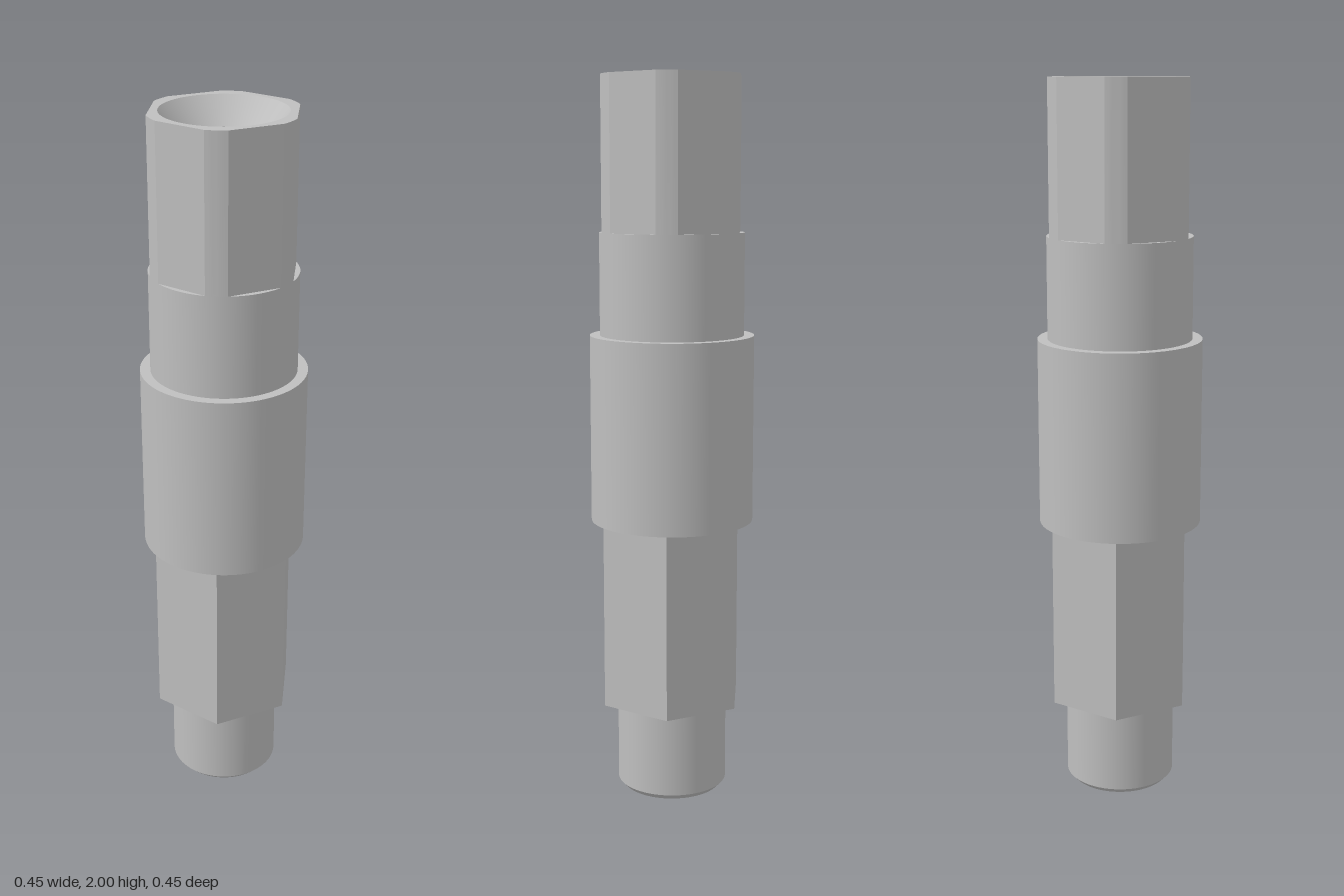
import * as THREE from 'three';
import { mergeGeometries, toCreasedNormals } from 'three/addons/utils/BufferGeometryUtils.js';

// Revolve each straight run of a profile on its own, so runs meet in sharp edges
function turned(points) {
  const runs = [];
  for (let i = 0; i + 1 < points.length; i++) {
    const pair = [points[i], points[i + 1]].map(([r, y]) => new THREE.Vector2(r, y));
    runs.push(new THREE.LatheGeometry(pair, 72));
  }
  return mergeGeometries(runs);
}

// Round outline of radius r with six flats at distance a from the axis
function flattedShape(r, a) {
  const shape = new THREE.Shape();
  const half = Math.acos(a / r);
  for (let i = 0; i < 6; i++) {
    const from = Math.PI / 6 + i * Math.PI / 3 + half;
    const to = Math.PI / 6 + (i + 1) * Math.PI / 3 - half;
    for (let k = 0; k <= 6; k++) {
      const t = from + (to - from) * k / 6;
      const x = r * Math.cos(t), y = r * Math.sin(t);
      if (i + k === 0) shape.moveTo(x, y);
      else shape.lineTo(x, y);
    }
  }
  shape.closePath();
  return shape;
}

export function createModel() {
  const group = new THREE.Group();
  const steel = new THREE.MeshStandardMaterial({ color: 0xbfbfbf });
  steel.name = 'steel';
  const add = (name, geometry) => {
    const mesh = new THREE.Mesh(geometry, steel);
    mesh.name = name;
    group.add(mesh);
    return mesh;
  };

  // Chamfered locating pin at the foot
  add('pin', turned([[0, 0], [0.14, 0], [0.155, 0.016], [0.155, 0.26]]));

  // Hexagonal wrench section, flats facing front and back
  const apothem = 0.183;
  const hexRadius = apothem / Math.cos(Math.PI / 6);
  const hex = new THREE.CylinderGeometry(hexRadius, hexRadius, 0.525, 6, 1, false, Math.PI / 6).toNonIndexed();
  hex.computeVertexNormals();
  add('hexSection', hex).position.y = 0.5225;

  // Wide collar and the round neck above it
  add('collar', turned([[0.1, 0.785], [0.227, 0.785], [0.227, 1.305], [0.19, 1.305]]));
  add('neck', turned([[0.199, 1.305], [0.199, 1.585], [0.17, 1.585]]));

  // Head with six milled flats: side walls only, taken from the extrusion
  const outline = flattedShape(0.199, 0.185);
  const solid = new THREE.ExtrudeGeometry(outline, { depth: 0.415, bevelEnabled: false });
  const sides = solid.groups[1];
  const walls = new THREE.BufferGeometry();
  walls.setAttribute('position', new THREE.Float32BufferAttribute(
    solid.attributes.position.array.slice(sides.start * 3, (sides.start + sides.count) * 3), 3));
  walls.rotateX(-Math.PI / 2).translate(0, 1.585, 0);
  add('head', toCreasedNormals(walls, 0.2));

  // Flat rim around the mouth
  const rimShape = flattedShape(0.199, 0.185);
  rimShape.holes.push(new THREE.Path().absarc(0, 0, 0.165, 0, Math.PI * 2, true));
  add('rim', new THREE.ShapeGeometry(rimShape, 36).rotateX(-Math.PI / 2).translate(0, 2, 0));

  // Countersunk, stepped bore ending in a drill point
  add('bore', turned([[0.165, 2], [0.11, 1.93], [0.11, 1.895], [0.088, 1.895], [0.088, 1.5], [0, 1.45]]));

  return group;
}
